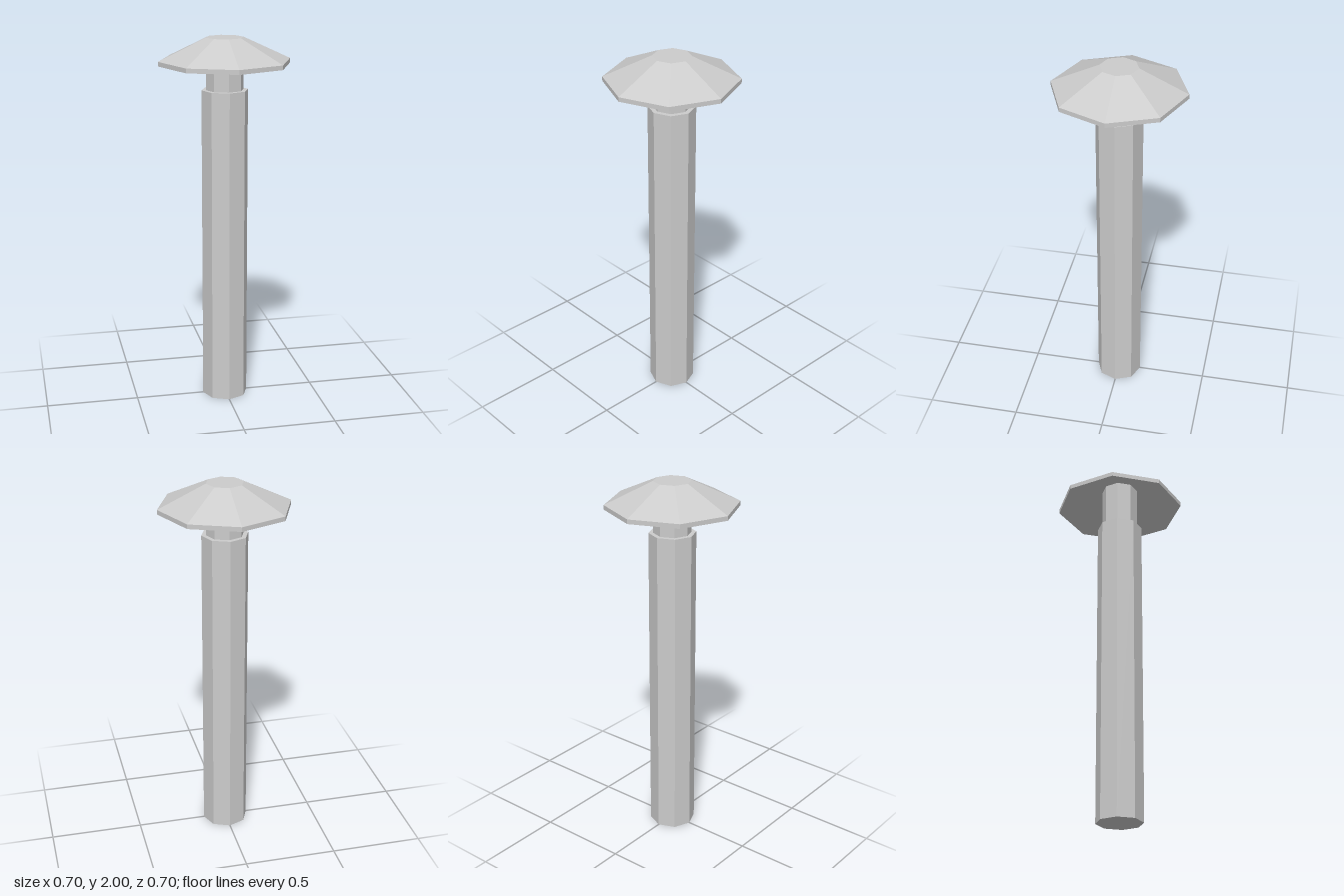
import * as THREE from 'three';

const SIDES = 8;

export function createModel() {
  const group = new THREE.Group();
  const material = new THREE.MeshStandardMaterial({ color: 0xcccccc, flatShading: true });

  const add = (name, geometry, y = 0) => {
    const mesh = new THREE.Mesh(geometry, material);
    mesh.name = name;
    mesh.position.y = y;
    group.add(mesh);
  };
  const prism = (name, radius, bottom, top) =>
    add(name, new THREE.CylinderGeometry(radius, radius, top - bottom, SIDES), (bottom + top) / 2);

  // Main post and the narrower neck that reaches up inside the cap
  prism('post', 0.125, 0, 1.726);
  prism('neck', 0.1, 1.726, 1.98);

  // Hollow umbrella-shaped cap of constant thickness with a small flat top
  const profile = [
    [0, 1.976], [0.1, 1.976], [0.352, 1.858], // underside
    [0.352, 1.882], [0.1, 2], [0, 2],         // rim and upper side
  ].map(([r, y]) => new THREE.Vector2(r, y));
  add('cap', new THREE.LatheGeometry(profile, SIDES));

  return group;
}
